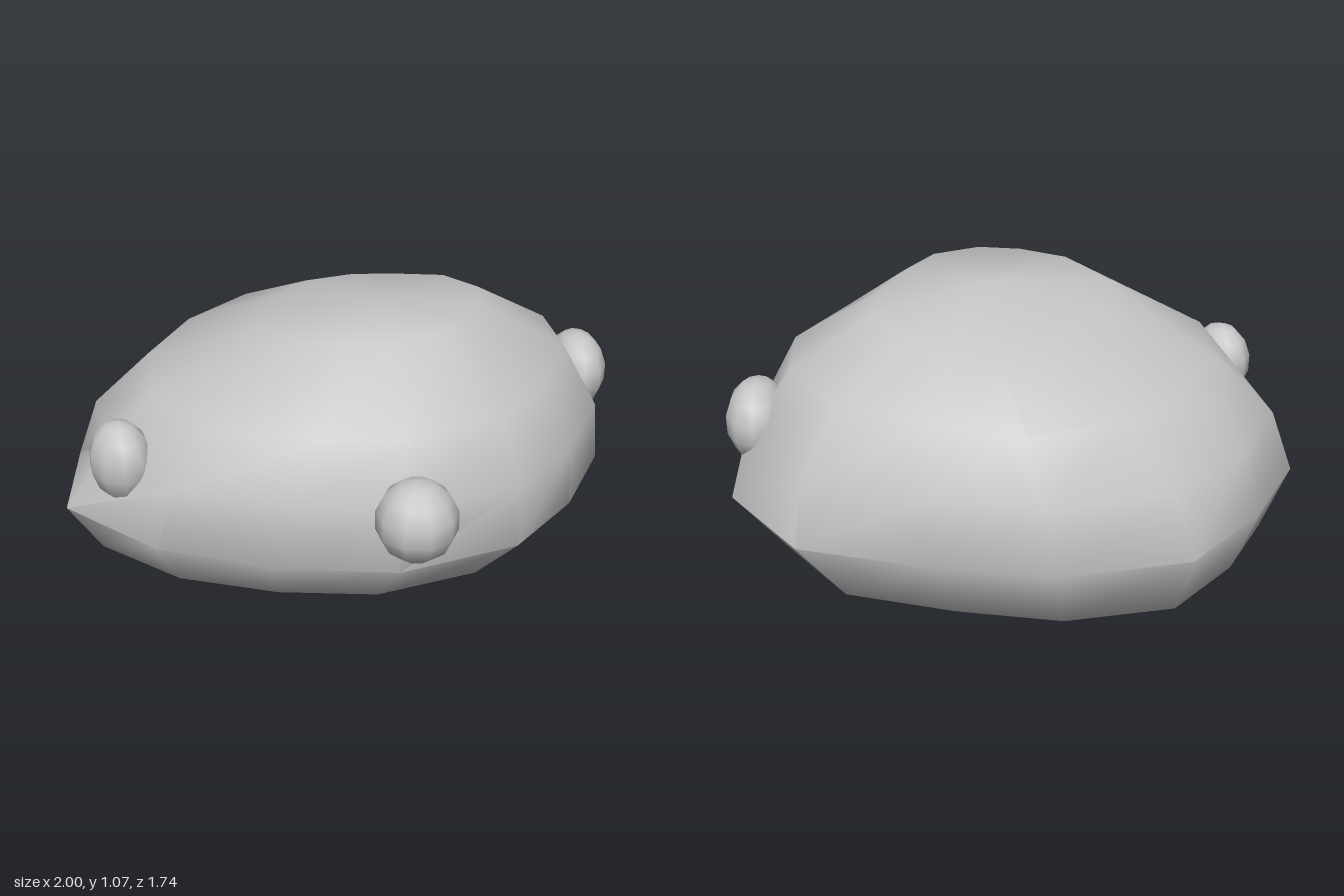
import * as THREE from 'three';
import { toCreasedNormals } from 'three/addons/utils/BufferGeometryUtils.js';

// widest outline of the boulder as [x, z], clockwise from above
const OUTLINE = [
  [-0.2, -0.87], [0.22, -0.845], [0.67, -0.77], [0.97, -0.45], [0.95, -0.07], [0.81, 0.27], [0.6, 0.55],
  [0.2, 0.72], [-0.2, 0.705], [-0.61, 0.6], [-0.97, 0.34], [-1, -0.07], [-0.86, -0.42], [-0.63, -0.74],
];

// cross-sections: height, x range, z range, tilt along x and z,
// and a scale for the corners that lean inward or outward
const RINGS = [
  { y: 0.05, x: [-0.47, 0.42], z: [-0.47, 0.26], tx: 0.07, tz: 0.11, lean: {} },
  { y: 0.185, x: [-0.9, 0.79], z: [-0.75, 0.57], tx: 0.01, tz: 0.03, lean: {} },
  { y: 0.405, x: [-1, 0.97], z: [-0.87, 0.735], tx: 0, tz: 0, lean: {} },
  { y: 0.625, x: [-0.92, 0.95], z: [-0.84, 0.72], tx: 0, tz: 0, lean: { 2: 0.97, 3: 0.96, 10: 0.92, 13: 0.98 } },
  { y: 0.84, x: [-0.71, 0.82], z: [-0.75, 0.64], tx: 0.02, tz: 0,
    lean: { 1: 0.95, 2: 0.91, 3: 0.92, 8: 1.03, 9: 1.04, 10: 0.96, 13: 0.95 } },
  { y: 1.025, x: [-0.29, 0.49], z: [-0.45, 0.38], tx: 0.04, tz: 0.1, lean: { 8: 1.04, 9: 1.08, 10: 1.06 } },
];

function boulderGeometry() {
  const n = OUTLINE.length;
  const positions = [];
  const index = [];
  const { mapLinear } = THREE.MathUtils;

  for (const r of RINGS) {
    OUTLINE.forEach(([ox, oz], i) => {
      const s = r.lean[i] ?? 1;
      const x = mapLinear(ox, -1, 0.97, r.x[0], r.x[1]) * s;
      const z = mapLinear(oz, -0.87, 0.72, r.z[0], r.z[1]) * s;
      positions.push(x, Math.max(0, r.y + r.tx * x + r.tz * z), z);
    });
  }
  for (let k = 0; k < RINGS.length - 1; k++) {
    for (let j = 0; j < n; j++) {
      const a = k * n + j;
      const b = k * n + ((j + 1) % n);
      index.push(b, a, a + n, b, a + n, b + n);
    }
  }

  // closing fans underneath and on top
  const bottom = positions.length / 3;
  positions.push(-0.1, 0, -0.15, 0.1, 1.07, 0);
  const last = (RINGS.length - 1) * n;
  for (let j = 0; j < n; j++) {
    const k = (j + 1) % n;
    index.push(bottom, j, k, bottom + 1, last + k, last + j);
  }

  const geometry = new THREE.BufferGeometry();
  geometry.setAttribute('position', new THREE.Float32BufferAttribute(positions, 3));
  geometry.setIndex(index);
  return toCreasedNormals(geometry, 0.82);
}

export function createModel() {
  const stone = new THREE.MeshStandardMaterial({ color: 0xc6c6c6 });
  stone.name = 'stone grey';
  const model = new THREE.Group();
  model.name = 'boulder';

  const body = new THREE.Mesh(boulderGeometry(), stone);
  body.name = 'boulderBody';
  model.add(body);

  // rounded knobs set into the sides
  const knobs = [
    { name: 'frontKnob', at: [0.25, 0.615, 0.745], size: [0.138, 0.142, 0.135], turn: 0 },
    { name: 'rightKnob', at: [-0.75, 0.632, 0.403], size: [0.125, 0.148, 0.105], turn: -0.75 },
    { name: 'leftKnob', at: [0.885, 0.655, -0.318], size: [0.158, 0.15, 0.115], turn: 1.7 },
  ];
  for (const { name, at, size, turn } of knobs) {
    const knob = new THREE.Mesh(new THREE.SphereGeometry(1, 10, 7), stone);
    knob.name = name;
    knob.position.set(...at);
    knob.scale.set(...size);
    knob.rotation.y = turn;
    model.add(knob);
  }
  return model;
}
